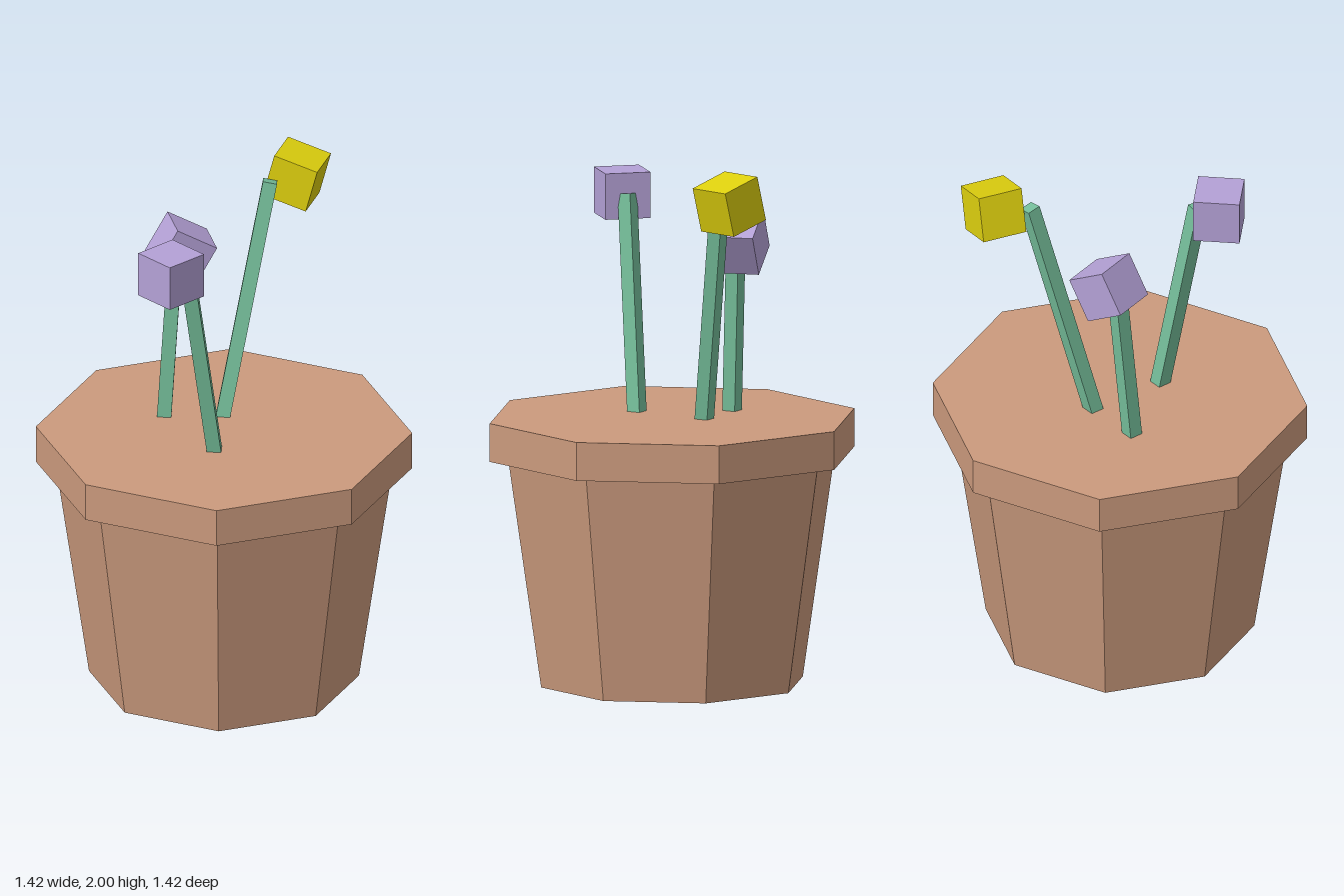
import * as THREE from 'three';

const deg = THREE.MathUtils.degToRad;

function flat(name, color) {
  return new THREE.MeshStandardMaterial({ name, color, flatShading: true });
}

export function createModel() {
  const model = new THREE.Group();
  model.name = 'flowerPot';

  const terracotta = flat('terracotta', 0xcb9a7d);
  const green = flat('stem green', 0x75be9a);
  const lilac = flat('lilac', 0xb4a1d6);
  const yellow = flat('yellow', 0xddcf0e);

  function add(parent, name, geometry, material) {
    const mesh = new THREE.Mesh(geometry, material);
    mesh.name = name;
    parent.add(mesh);
    return mesh;
  }

  // Octagonal pot: tapered body and wider solid rim
  add(model, 'potBody', new THREE.CylinderGeometry(0.635, 0.508, 0.868, 8), terracotta).position.y = 0.434;
  add(model, 'potRim', new THREE.CylinderGeometry(0.708, 0.708, 0.146, 8), terracotta).position.y = 0.941;

  // Flowers: a leaning square stem (top point, lean) and a cube bloom (centre, pitch/yaw/roll)
  const flowers = [
    { name: 'leftFlower', top: [0.33, 1.907, -0.102], lean: -15, bloom: [0.467, 1.892, -0.102], turn: [15, 30, 0], color: yellow },
    { name: 'rightFlower', top: [-0.284, 1.82, 0.1], lean: 10, bloom: [-0.363, 1.812, 0.1], turn: [0, 0, 0], color: lilac },
    { name: 'middleFlower', top: [-0.018, 1.64, -0.252], lean: -5, bloom: [0.015, 1.672, -0.255], turn: [0, -30, -30], color: lilac },
  ];

  for (const f of flowers) {
    const flower = new THREE.Group();
    flower.name = f.name;
    model.add(flower);

    // The stem hangs down from its top point and ends inside the pot
    const length = (f.top[1] - 0.95) / Math.cos(deg(f.lean));
    const stemGeometry = new THREE.CylinderGeometry(0.038, 0.038, length, 4).translate(0, -length / 2, 0);
    const stem = add(flower, 'stem', stemGeometry, green);
    stem.position.set(...f.top);
    stem.rotation.z = deg(f.lean);

    const bloom = add(flower, 'bloom', new THREE.BoxGeometry(0.175, 0.175, 0.175), f.color);
    bloom.position.set(...f.bloom);
    bloom.rotation.set(...f.turn.map(deg), 'YXZ');
  }

  return model;
}
